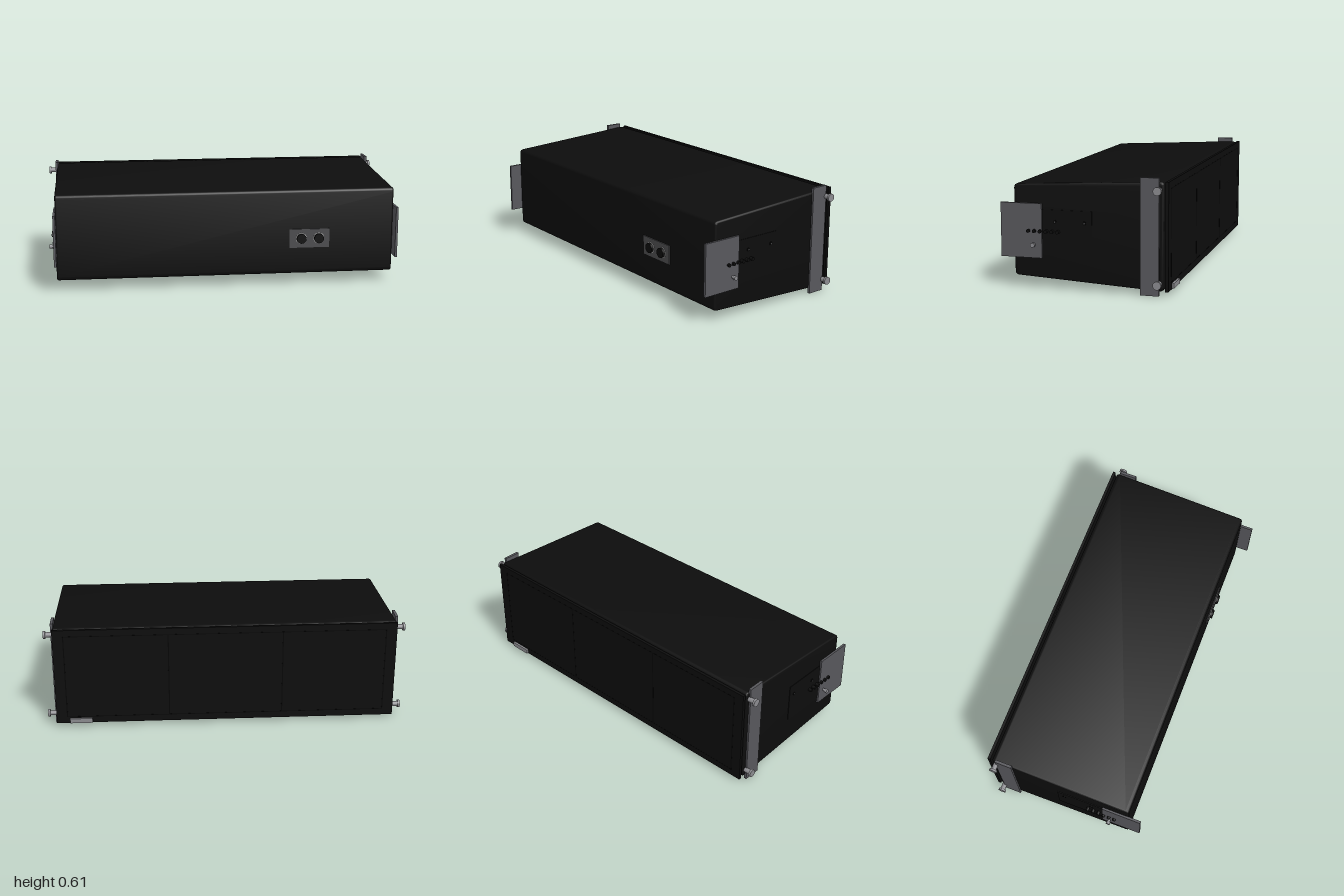
import * as THREE from 'three';
import { toCreasedNormals } from 'three/addons/utils/BufferGeometryUtils.js';

const mat = (name, color) => new THREE.MeshStandardMaterial({ name, color });

// Closed shape through the corners, each rounded by r
function roundedShape(corners, r) {
  const pts = corners.map(([x, y]) => new THREE.Vector2(x, y));
  const shape = new THREE.Shape();
  pts.forEach((p, i) => {
    const prev = pts[(i + pts.length - 1) % pts.length];
    const next = pts[(i + 1) % pts.length];
    const a = p.clone().add(prev.clone().sub(p).setLength(r));
    const b = p.clone().add(next.clone().sub(p).setLength(r));
    if (i === 0) shape.moveTo(a.x, a.y); else shape.lineTo(a.x, a.y);
    shape.quadraticCurveTo(p.x, p.y, b.x, b.y);
  });
  shape.closePath();
  return shape;
}

export function createModel() {
  const model = new THREE.Group();
  model.name = 'speakerCabinet';

  const black = mat('cabinetBlack', 0x0d0d0d);
  const seamBlack = mat('seamBlack', 0x040404);
  const steel = mat('bracketSteel', 0x58585d);
  const panelGrey = mat('connectorGrey', 0x4c4c4e);
  const boltGrey = mat('boltGrey', 0x8c8c90);
  const chrome = mat('rimChrome', 0xc8c8c8);

  const add = (parent, name, geo, material, x, y, z) => {
    const mesh = new THREE.Mesh(geo, material);
    mesh.name = name;
    mesh.position.set(x, y, z);
    parent.add(mesh);
    return mesh;
  };
  // Box given by its limits on each axis
  const box = (parent, name, material, [x0, x1], [y0, y1], [z0, z1]) =>
    add(parent, name, new THREE.BoxGeometry(x1 - x0, y1 - y0, z1 - z0), material,
      (x0 + x1) / 2, (y0 + y1) / 2, (z0 + z1) / 2);
  // Cylinder along x or z, from a to b on that axis
  const rodX = (parent, name, material, r, a, b, y, z) =>
    add(parent, name, new THREE.CylinderGeometry(r, r, b - a, 20).rotateZ(Math.PI / 2), material, (a + b) / 2, y, z);
  const rodZ = (parent, name, material, r, a, b, x, y) =>
    add(parent, name, new THREE.CylinderGeometry(r, r, b - a, 32).rotateX(Math.PI / 2), material, x, y, (a + b) / 2);

  // Wedge cabinet: tapered side profile extruded across the width
  const bevel = 0.01, half = 0.95;
  const profile = roundedShape([[-0.385, 0.062], [0.418, 0.022], [0.418, 0.585], [-0.385, 0.545]], 0.022);
  const body = new THREE.ExtrudeGeometry(profile, {
    depth: 2 * (half - bevel), bevelEnabled: true, bevelThickness: bevel,
    bevelSize: bevel, bevelOffset: -bevel, bevelSegments: 3, curveSegments: 6,
  });
  body.translate(0, 0, -(half - bevel)).rotateY(Math.PI / 2);
  add(model, 'cabinet', toCreasedNormals(body, 0.6), black, 0, 0, 0);

  // Grille, held off the cabinet by a central spacer
  const grille = new THREE.Group();
  grille.name = 'grille';
  model.add(grille);
  box(grille, 'grillePanel', black, [-0.95, 0.95], [0.022, 0.585], [-0.443, -0.427]);
  box(grille, 'grilleSpacer', black, [-0.065, 0.065], [0.065, 0.54], [-0.428, -0.416]);
  for (const x of [-0.89, -0.317, 0.317, 0.89])
    box(grille, 'grilleSeam', seamBlack, [x - 0.003, x + 0.003], [0.06, 0.547], [-0.4437, -0.442]);
  for (const y of [0.06, 0.547])
    box(grille, 'grilleFold', seamBlack, [-0.89, 0.89], [y - 0.002, y + 0.002], [-0.4437, -0.442]);
  box(model, 'badge', boltGrey, [0.75, 0.875], [0.025, 0.052], [-0.455, -0.442]);

  // Connector plate with two sockets
  const connectors = new THREE.Group();
  connectors.name = 'connectorPlate';
  model.add(connectors);
  box(connectors, 'plate', panelGrey, [0.355, 0.583], [0.214, 0.321], [0.38, 0.391]);
  for (const x of [0.422, 0.522]) {
    rodZ(connectors, 'socketRim', chrome, 0.031, 0.388, 0.393, x, 0.268);
    rodZ(connectors, 'socket', black, 0.0275, 0.388, 0.407, x, 0.268);
  }

  // Rigging hardware, the same on both ends
  for (const side of [1, -1]) {
    const end = new THREE.Group();
    end.name = side > 0 ? 'leftRigging' : 'rightRigging';
    if (side < 0) end.rotation.y = Math.PI;
    model.add(end);
    const s = side; // keeps z the same once the group is turned round
    const span = (a, b) => (s > 0 ? [a, b] : [-b, -a]);

    box(end, 'rearBracket', steel, [0.945, 0.96], [0, 0.605], span(-0.395, -0.298));
    box(end, 'frontBracket', steel, [0.948, 0.961], [0.16, 0.447], span(0.23, 0.455));
    box(end, 'sidePanel', black, [0.945, 0.953], [0.19, 0.417], span(-0.04, 0.23));

    for (const y of [0.064, 0.543]) {
      rodX(end, 'rearBoltShaft', boltGrey, 0.014, 0.945, 0.99, y, s * -0.395);
      rodX(end, 'rearBoltHead', boltGrey, 0.022, 0.988, 1.0, y, s * -0.395);
    }
    rodX(end, 'frontBoltShaft', boltGrey, 0.008, 0.955, 0.978, 0.232, s * 0.272);
    rodX(end, 'frontBoltHead', boltGrey, 0.012, 0.976, 0.99, 0.232, s * 0.272);

    // Row of angle pins
    for (let i = 0; i < 6; i++)
      rodX(end, 'anglePin', black, 0.0095, 0.945, 0.973, 0.303, s * (0.302 - i * 0.032));
    // Panel screws
    for (const z of [0.16, 0]) {
      rodX(end, 'panelScrew', seamBlack, 0.01, 0.945, 0.956, 0.354, s * z);
      rodX(end, 'panelScrewTip', panelGrey, 0.004, 0.945, 0.957, 0.354, s * z);
    }
  }
  return model;
}
